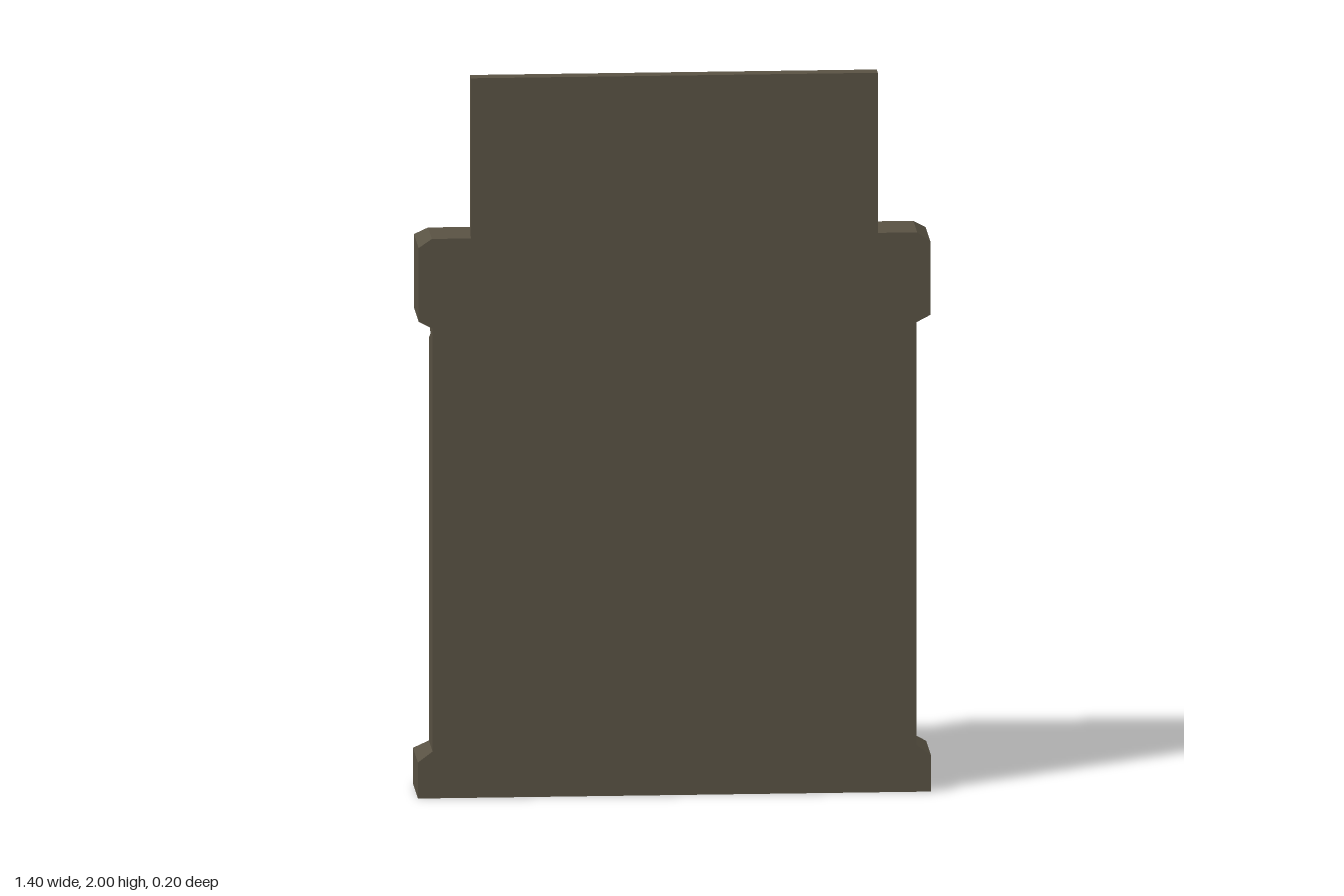
import * as THREE from 'three';

const material = new THREE.MeshStandardMaterial({ color: 0x5a5344, flatShading: true, roughness: 0.9 });

function add(parent, name, geometry, x = 0, y = 0, z = 0) {
  const mesh = new THREE.Mesh(geometry, material);
  mesh.name = name;
  mesh.position.set(x, y, z);
  parent.add(mesh);
  return mesh;
}

// Solid through stacked plan outlines: each ring is { y, pts: [[x, z], ...] }
function loft(rings) {
  const area = (p) => p.reduce((s, a, i) => {
    const b = p[(i + 1) % p.length];
    return s + a[0] * b[1] - b[0] * a[1];
  }, 0);
  const flip = area(rings[0].pts) > 0;
  const loops = rings.map(({ y, pts }) => {
    const loop = pts.map(([x, z]) => new THREE.Vector3(x, y, z));
    return flip ? loop.reverse() : loop;
  });
  const out = [];
  const tri = (...corners) => corners.forEach((v) => out.push(v.x, v.y, v.z));
  const n = loops[0].length;
  for (let k = 0; k < loops.length - 1; k++) {
    for (let i = 0; i < n; i++) {
      const j = (i + 1) % n;
      const [a, b, c, d] = [loops[k][i], loops[k][j], loops[k + 1][j], loops[k + 1][i]];
      tri(a, b, c);
      tri(a, c, d);
    }
  }
  const cap = (loop, up) => {
    const flat = loop.map((v) => new THREE.Vector2(v.z, v.x));
    for (const [a, b, c] of THREE.ShapeUtils.triangulateShape(flat, [])) {
      const facesUp = THREE.ShapeUtils.area([flat[a], flat[b], flat[c]]) > 0;
      if (facesUp === up) tri(loop[a], loop[b], loop[c]);
      else tri(loop[a], loop[c], loop[b]);
    }
  };
  cap(loops[0], false);
  cap(loops[loops.length - 1], true);
  const geometry = new THREE.BufferGeometry();
  geometry.setAttribute('position', new THREE.Float32BufferAttribute(out, 3));
  geometry.computeVertexNormals();
  return geometry;
}

// Pillar with a splayed inner side and a chip broken out of its outer corner
function pillar(side, chip) {
  const ring = (y, cutX, cutZ) => ({
    y,
    pts: [[0.66, 0.1], [0.66, -0.05 + cutZ], [0.66 - cutX, -0.05], [0.49, -0.05], [0.45, 0.03], [0.45, 0.1]]
      .map(([x, z]) => [side * x, z]),
  });
  return loft([
    ring(0.05, 0, 0), ring(chip.low, 0, 0), ring(chip.mid, chip.x, chip.z),
    ring(chip.high, 0, 0), ring(1.32, 0, 0),
  ]);
}

// Plinth block with a sloping top
function plinth(side) {
  const ring = (y, outer, back, inner) => ({
    y,
    pts: [[outer, 0.1], [outer, back], [inner, back], [0.45, 0.03], [0.45, 0.1]]
      .map(([x, z]) => [side * x, z]),
  });
  return loft([ring(0, 0.7, -0.1, 0.485), ring(0.1, 0.7, -0.1, 0.485), ring(0.13, 0.66, -0.05, 0.49)]);
}

function rect(path, x0, y0, x1, y1) {
  path.moveTo(x0, y0);
  path.lineTo(x1, y0);
  path.lineTo(x1, y1);
  path.lineTo(x0, y1);
  path.closePath();
  return path;
}

// Door leaf frame with two bevelled panel openings
function leafFrame() {
  const shape = rect(new THREE.Shape(), 0.003, 0.016, 0.45, 1.21);
  shape.holes.push(rect(new THREE.Path(), 0.032, 0.035, 0.412, 0.555));
  shape.holes.push(rect(new THREE.Path(), 0.032, 0.64, 0.412, 1.175));
  return new THREE.ExtrudeGeometry(shape, {
    depth: 0.01, bevelEnabled: true, bevelThickness: 0.015, bevelSize: 0.016, bevelSegments: 1,
  });
}

function handle(side) {
  const group = new THREE.Group();
  group.name = 'handle';
  add(group, 'handleRose', new THREE.CylinderGeometry(0.018, 0.018, 0.01, 12), 0, 0, 0.026)
    .rotation.x = Math.PI / 2;
  add(group, 'handleStem', new THREE.CylinderGeometry(0.011, 0.011, 0.04, 10), 0, 0, 0.01)
    .rotation.x = Math.PI / 2;
  add(group, 'handleLever', new THREE.CylinderGeometry(0.012, 0.012, 0.12, 10), side * 0.05, 0, -0.008)
    .rotation.z = Math.PI / 2;
  group.position.set(side * 0.035, 0.597, 0);
  return group;
}

export function createModel() {
  const model = new THREE.Group();
  model.name = 'doorway';

  // Slab closing the doorway, also the recessed door panels
  add(model, 'doorPanels', new THREE.BoxGeometry(1.2, 1.3, 0.053), 0, 0.65, 0.0735);

  // Pillars, plinths, door leaves and handles
  const chips = {
    1: { low: 0.545, mid: 0.58, high: 0.605, x: 0.1, z: 0.08 },
    '-1': { low: 1.25, mid: 1.276, high: 1.295, x: 0.08, z: 0.07 },
  };
  for (const side of [1, -1]) {
    const word = side > 0 ? 'left' : 'right';
    add(model, word + 'Pillar', pillar(side, chips[side]));
    add(model, word + 'Plinth', plinth(side));
    const leaf = add(model, word + 'DoorLeaf', leafFrame(), 0, 0, 0.045);
    if (side < 0) {
      // Half turn mirrors the leaf, whose front and back match
      leaf.rotation.y = Math.PI;
      leaf.position.z = 0.055;
    }
    model.add(handle(side));
  }

  // Header over the opening with a splayed soffit
  const header = (x) => [[x, 1.31], [x, 1.2]];
  const [[, top], [, low]] = header(0);
  add(model, 'header', loft([
    { y: low, pts: [[-0.5, 0.1], [0.5, 0.1], [0.5, 0.03], [-0.5, 0.03]] },
    { y: 1.245, pts: [[-0.5, 0.1], [0.5, 0.1], [0.5, -0.05], [-0.5, -0.05]] },
    { y: top, pts: [[-0.5, 0.1], [0.5, 0.1], [0.5, -0.05], [-0.5, -0.05]] },
  ]));

  // Lintel with chamfered upper and lower edges
  const lintelRing = (y, x, back) => ({ y, pts: [[-x, 0.1], [x, 0.1], [x, back], [-x, back]] });
  add(model, 'lintel', loft([
    lintelRing(1.305, 0.66, -0.05), lintelRing(1.325, 0.698, -0.09),
    lintelRing(1.53, 0.698, -0.09), lintelRing(1.555, 0.662, -0.055),
  ]));

  // Flat board standing on the lintel
  add(model, 'topBoard', new THREE.BoxGeometry(1.11, 0.46, 0.045), 0, 1.77, 0.0775);

  return model;
}
